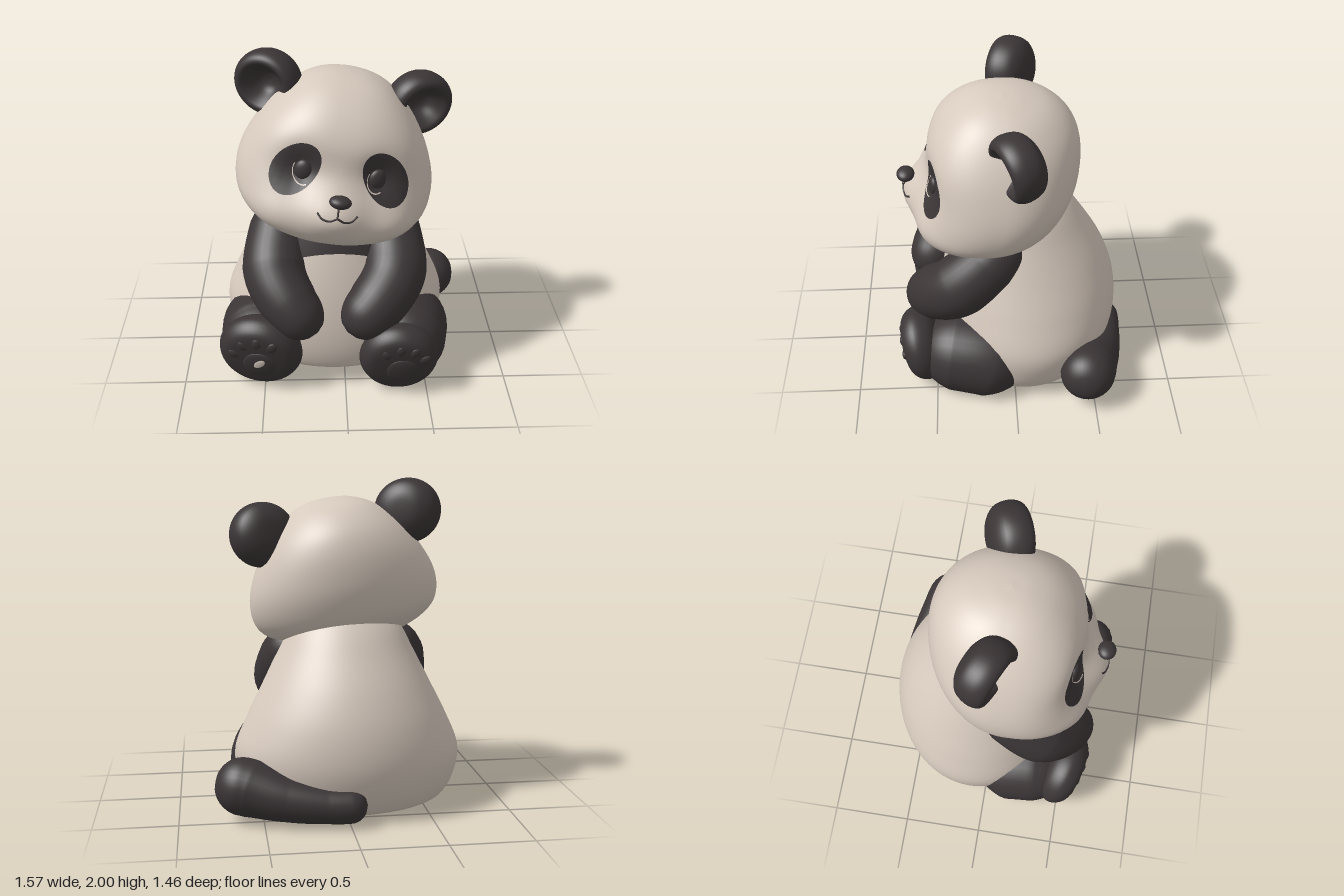
import * as THREE from 'three';
import { mergeVertices } from 'three/addons/utils/BufferGeometryUtils.js';

const cream = new THREE.MeshStandardMaterial({ color: 0xd6c9bd });
cream.name = 'cream fur';
const dark = new THREE.MeshStandardMaterial({ color: 0x3b3536 });
dark.name = 'charcoal fur';

function part(parent, name, geometry, material) {
  const mesh = new THREE.Mesh(geometry, material);
  mesh.name = name;
  parent.add(mesh);
  return mesh;
}

function smooth(geometry) {
  geometry.deleteAttribute('uv');
  geometry.deleteAttribute('normal');
  const merged = mergeVertices(geometry, 1e-5);
  merged.computeVertexNormals();
  return merged;
}

// Skin through horizontal rings [y, half width, back z, front z], bottom to top;
// a front power below 1 squares the front half
function loft(rings, frontPower = 1, shape = () => {}) {
  const rows = 60, cols = 72, pos = [], index = [];
  const widths = new THREE.CatmullRomCurve3(rings.map(r => new THREE.Vector3(r[1], r[0], 0)), false, 'catmullrom');
  const depths = new THREE.CatmullRomCurve3(rings.map(r => new THREE.Vector3(r[2], r[3], 0)), false, 'catmullrom');
  const bend = (v, power) => Math.sign(v) * Math.abs(v) ** power;
  for (let i = 0; i <= rows; i++) {
    const w = widths.getPoint(i / rows), d = depths.getPoint(i / rows);
    for (let j = 0; j < cols; j++) {
      const a = (j / cols) * Math.PI * 2, power = j < cols / 2 ? frontPower : 1;
      const p = new THREE.Vector3(Math.max(w.x, 0) * bend(Math.cos(a), power), w.y,
        (d.x + d.y) / 2 + ((d.y - d.x) / 2) * bend(Math.sin(a), power));
      shape(p);
      pos.push(p.x, p.y, p.z);
      if (i < rows) {
        const k = (j + 1) % cols, n = i * cols;
        index.push(n + j, n + cols + j, n + k, n + k, n + cols + j, n + cols + k);
      }
    }
  }
  const g = new THREE.BufferGeometry();
  g.setAttribute('position', new THREE.Float32BufferAttribute(pos, 3));
  g.setIndex(index);
  g.computeVertexNormals();
  return g;
}

// Round-ended limb through points [x, y, z, radius], never below the ground
function limb(points) {
  const segments = 72, sides = 32;
  const curve = new THREE.CatmullRomCurve3(points.map(p => new THREE.Vector3(p[0], p[1], p[2])));
  const g = new THREE.TubeGeometry(curve, segments, 1, sides);
  const pos = g.attributes.position, length = curve.getLength(), v = new THREE.Vector3();
  const last = points.length - 1;
  for (let i = 0; i <= segments; i++) {
    const u = i / segments, center = curve.getPointAt(u);
    const k = Math.min(Math.floor(u * last), last - 1);
    let r = THREE.MathUtils.lerp(points[k][3], points[k + 1][3], u * last - k);
    const gap = Math.min(u, 1 - u) * length;
    if (gap < r) r *= Math.sqrt(Math.max(0, 1 - (1 - gap / r) ** 2));
    for (let j = 0; j <= sides; j++) {
      const n = i * (sides + 1) + j;
      v.fromBufferAttribute(pos, n).sub(center).multiplyScalar(r).add(center);
      pos.setXYZ(n, v.x, Math.max(0, v.y), v.z);
    }
  }
  return smooth(g);
}

// Turned shape whose axis points to the front
function turned(profile) {
  const curve = new THREE.SplineCurve(profile.map(p => new THREE.Vector2(p[0], p[1])));
  const points = curve.getPoints(36).map(p => p.setX(Math.max(0, p.x)));
  return smooth(new THREE.LatheGeometry(points, 48).rotateX(Math.PI / 2));
}

// Depth of a mesh's front surface at x, y
function frontZ(mesh, x, y) {
  const ray = new THREE.Raycaster(new THREE.Vector3(x, y, 5), new THREE.Vector3(0, 0, -1));
  const hit = ray.intersectObject(mesh)[0];
  return hit ? hit.point.z : 0;
}

// Lays a flat geometry on a mesh's front surface
function drape(mesh, g, lift) {
  const pos = g.attributes.position;
  for (let i = 0; i < pos.count; i++) pos.setZ(i, frontZ(mesh, pos.getX(i), pos.getY(i)) + lift);
  return smooth(g);
}

function buildTorso() {
  const torso = new THREE.Group();
  torso.name = 'torso';
  const body = part(torso, 'body', loft([
    [0.004, 0.53, -0.49, 0.37], [0.05, 0.625, -0.575, 0.43], [0.18, 0.685, -0.65, 0.465],
    [0.35, 0.7, -0.685, 0.47], [0.55, 0.62, -0.665, 0.45], [0.75, 0.52, -0.59, 0.41], [0.95, 0.42, -0.47, 0.35],
    [1.12, 0.33, -0.35, 0.28], [1.25, 0.2, -0.2, 0.2], [1.28, 0, 0, 0],
  ]), cream);
  const base = part(torso, 'base', new THREE.CircleGeometry(1, 72).rotateX(Math.PI / 2), cream);
  base.scale.set(0.53, 1, 0.43);
  base.position.set(0, 0.004, -0.06);

  // Dark chest band with an arched lower edge
  const band = new THREE.PlaneGeometry(0.66, 1, 28, 14);
  const pos = band.attributes.position;
  for (let i = 0; i < pos.count; i++) {
    const x = pos.getX(i), low = 0.84 - 0.9 * x * x;
    pos.setY(i, THREE.MathUtils.lerp(low, 1.08, pos.getY(i) + 0.5));
  }
  part(torso, 'chestBand', drape(body, band, 0.007), dark);

  part(torso, 'leftArm', limb([[0.27, 1.05, -0.03, 0.14], [0.34, 0.86, 0.15, 0.19], [0.35, 0.68, 0.35, 0.2],
    [0.24, 0.55, 0.49, 0.18], [0.06, 0.4, 0.57, 0.14]]), dark);
  part(torso, 'rightArm', limb([[-0.27, 1.05, -0.03, 0.14], [-0.35, 0.86, 0.15, 0.19], [-0.37, 0.68, 0.34, 0.2],
    [-0.28, 0.54, 0.48, 0.175], [-0.12, 0.39, 0.56, 0.135]]), dark);
  part(torso, 'leftLeg', limb([[0.45, 0.08, -0.07, 0.22], [0.46, 0.185, 0.16, 0.265],
    [0.42, 0.21, 0.4, 0.26], [0.38, 0.22, 0.61, 0.22]]), dark);
  part(torso, 'rightLeg', limb([[-0.47, 0.08, -0.07, 0.22], [-0.47, 0.185, 0.16, 0.265],
    [-0.47, 0.215, 0.37, 0.255], [-0.46, 0.23, 0.55, 0.22]]), dark);
  torso.position.x = -0.05;
  return torso;
}

function buildFoot(name, fanAngle) {
  const foot = new THREE.Group();
  foot.name = name;
  part(foot, 'sole', turned([[0, -0.14], [0.12, -0.135], [0.21, -0.09], [0.252, 0], [0.21, 0.085], [0.12, 0.11], [0, 0.115]]), dark);
  const ball = new THREE.SphereGeometry(1, 28, 16);
  const pad = part(foot, 'heelPad', ball, dark);
  pad.scale.set(0.1, 0.1, 0.02);
  pad.position.set(0.015, -0.02, 0.111);
  for (let i = 0; i < 4; i++) {
    const a = fanAngle + (i - 1.5) * 0.56;
    const toe = part(foot, 'toePad', ball, dark);
    toe.scale.set(0.034, 0.045, 0.02);
    toe.position.set(0.015 + Math.cos(a) * 0.16, -0.02 + Math.sin(a) * 0.16, 0.094);
    toe.rotation.z = a - Math.PI / 2;
  }
  foot.rotation.x = 0.25;
  return foot;
}

function buildHead() {
  const head = new THREE.Group();
  head.name = 'head';
  const bump = (p, x, y, sx, sy) => Math.exp(-(((Math.abs(p.x) - x) / sx) ** 2) - ((p.y - y) / sy) ** 2);
  const skull = part(head, 'skull', loft([
    [-0.34, 0, 0.25, 0.25], [-0.33, 0.19, 0.05, 0.42], [-0.295, 0.34, -0.09, 0.505], [-0.23, 0.48, -0.23, 0.555],
    [-0.14, 0.57, -0.34, 0.56], [-0.02, 0.597, -0.4, 0.53], [0.12, 0.572, -0.43, 0.5], [0.29, 0.49, -0.425, 0.485],
    [0.43, 0.385, -0.37, 0.41], [0.54, 0.26, -0.25, 0.29], [0.595, 0.13, -0.09, 0.16], [0.61, 0, 0.04, 0.04],
  ], 0.78, p => {
    // Rounded muzzle, full cheeks and shallow eye sockets
    const front = THREE.MathUtils.smoothstep(p.z, 0.1, 0.4);
    p.z += front * (0.115 * bump(p, 0, -0.075, 0.19, 0.15) + 0.035 * bump(p, 0.36, -0.14, 0.15, 0.13)
      - 0.045 * bump(p, 0.22, 0.13, 0.11, 0.13));
  }), cream);

  const earShape = turned([[0, -0.14], [0.1, -0.13], [0.18, -0.075], [0.205, 0.015], [0.19, 0.085],
    [0.15, 0.11], [0.11, 0.07], [0.06, 0], [0, -0.02]]);
  const ball = new THREE.SphereGeometry(1, 32, 20);
  for (const s of [-1, 1]) {
    const side = s > 0 ? 'left' : 'right';
    const ear = part(head, side + 'Ear', earShape, dark);
    ear.position.set(s * 0.45 - 0.01, 0.455, -0.035);
    ear.rotation.set(0.15, s * 0.42, 0);
    ear.scale.set(1.02, 0.98, 0.95);

    // Slanted eye patch, eye and its thin rim
    const patch = new THREE.RingGeometry(0, 1, 44, 8);
    patch.scale(0.118, 0.174, 1).rotateZ(s * 0.68).translate(s * 0.262 + 0.005, 0.135, 0);
    part(head, side + 'EyePatch', drape(skull, patch, 0.006), dark);
    const x = s * 0.215 + 0.005, y = 0.122;
    const eye = part(head, side + 'Eye', ball, dark);
    eye.scale.set(0.052, 0.064, 0.03);
    eye.position.set(x, y, frontZ(skull, x, y) + 0.006);
    eye.rotation.y = s * 0.25;
    const rim = new THREE.RingGeometry(0.91, 1, 32, 1, 2.6, 2.6);
    rim.scale(0.062, 0.075, 1).translate(x, y, 0);
    part(head, side + 'EyeRim', drape(skull, rim, 0.0095), cream);
  }

  // Nose and mouth line
  const nose = part(head, 'nose', ball, dark);
  nose.scale.set(0.064, 0.036, 0.055);
  nose.position.set(0.015, 0.035, 0.632);
  const line = (name, points) => part(head, name, new THREE.TubeGeometry(new THREE.CatmullRomCurve3(
    points.map(([x, y]) => new THREE.Vector3(x + 0.012, y, frontZ(skull, x + 0.012, y) + 0.001))), 40, 0.006, 8), dark);
  line('mouth', [[-0.115, -0.052], [-0.085, -0.077], [-0.04, -0.08], [0, -0.062], [0.04, -0.08], [0.085, -0.077], [0.115, -0.052]]);
  line('lipCleft', [[0, 0.01], [0, -0.025], [0, -0.062]]);

  head.position.set(-0.053, 1.28, 0.015);
  head.rotation.z = -0.157;
  return head;
}

export function createModel() {
  const model = new THREE.Group();
  model.name = 'sittingBear';
  model.add(buildTorso(), buildHead());

  const leftFoot = buildFoot('leftFoot', 1.38);
  leftFoot.position.set(0.325, 0.236, 0.59);
  leftFoot.scale.setScalar(0.96);
  const rightFoot = buildFoot('rightFoot', 1.94);
  rightFoot.position.set(-0.52, 0.25, 0.51);
  rightFoot.rotation.y = -0.2;
  rightFoot.scale.set(1.03, 1, 1);
  const spot = part(rightFoot, 'padSpot', new THREE.SphereGeometry(1, 16, 10), cream);
  spot.scale.set(0.024, 0.045, 0.004);
  spot.position.set(0.02, 0.005, 0.131);
  spot.rotation.z = -0.7;
  model.add(leftFoot, rightFoot);

  part(model, 'tail', limb([[-0.1, 0.12, -0.63, 0.1], [0.1, 0.12, -0.62, 0.105], [0.36, 0.15, -0.56, 0.13],
    [0.6, 0.205, -0.46, 0.17], [0.78, 0.23, -0.41, 0.176]]), dark);
  return model;
}
